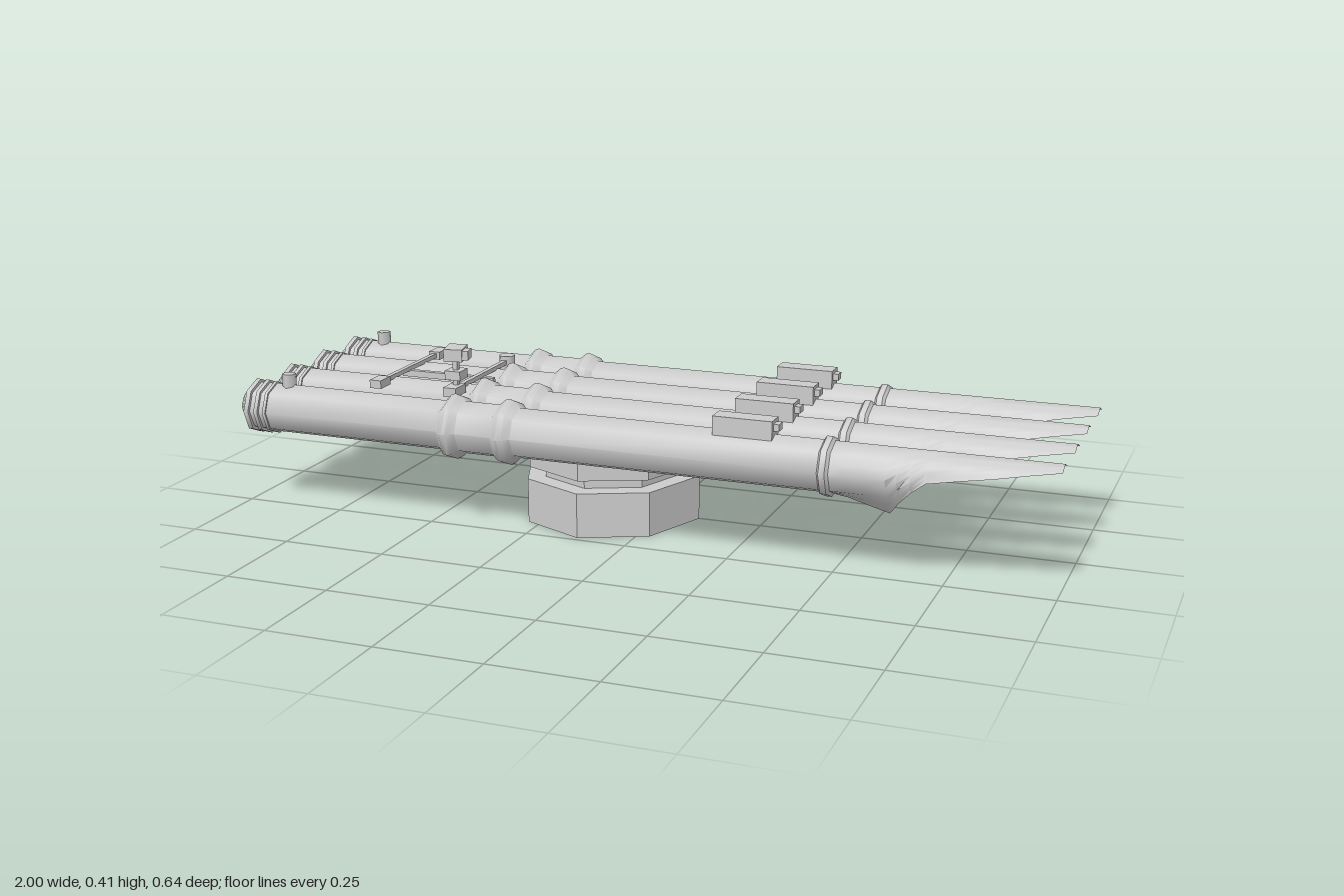
import * as THREE from 'three';
import { toCreasedNormals } from 'three/addons/utils/BufferGeometryUtils.js';

const mat = new THREE.MeshStandardMaterial({ color: 0xcccccc });
const thin = new THREE.MeshStandardMaterial({ color: 0xcccccc, side: THREE.DoubleSide });
const CY = 0.243, R = 0.061, SIDES = 8, CREASE = 0.85;

function add(parent, name, geo, x, y, z, material = mat) {
  const m = new THREE.Mesh(geo, material);
  m.name = name;
  m.position.set(x, y, z);
  parent.add(m);
  return m;
}
const box = (parent, name, w, h, d, x, y, z) =>
  add(parent, name, new THREE.BoxGeometry(w, h, d), x, y, z);

// Barrel profile as [x, radius], including rear cap, rings and collars
function barrelGeometry() {
  const profile = [
    [-1, 0], [-1, 0.03], [-0.985, 0.05], [-0.972, 0.059],
    [-0.972, 0.067], [-0.96, 0.067], [-0.96, 0.059],
    [-0.945, 0.059], [-0.945, 0.067], [-0.935, 0.067], [-0.935, 0.06],
    [-0.922, 0.06], [-0.922, 0.065], [-0.914, 0.065], [-0.914, R],
    [-0.455, R], [-0.44, 0.077], [-0.43, 0.08], [-0.42, 0.077], [-0.405, 0.064],
    [-0.315, 0.064], [-0.3, 0.077], [-0.29, 0.08], [-0.28, 0.077], [-0.265, R],
    [0.472, R], [0.478, 0.07], [0.492, 0.07], [0.498, R], [0.505, 0.054], [0.505, 0],
  ];
  const g = new THREE.LatheGeometry(profile.map(([x, r]) => new THREE.Vector2(r, x)), SIDES);
  g.rotateZ(-Math.PI / 2);
  return toCreasedNormals(g, CREASE);
}

// Spoon-shaped muzzle: an octagonal shell cut away to leave the upper arc.
// Each station is [x, half angle of arc in degrees, drop of the lower lip].
function spoonGeometry() {
  const stations = [
    [0.49, 180, 0], [0.53, 180, 0.006], [0.58, 180, 0.02], [0.625, 180, 0.032],
    [0.65, 150, 0.03], [0.68, 118, 0], [0.715, 88, 0], [0.79, 75, 0],
    [0.86, 63, 0], [0.93, 49, 0], [1, 32, 0],
  ];
  const N = 16, pos = [], idx = [];
  stations.forEach(([x, limit, drop], s) => {
    for (let j = 0; j <= N; j++) {
      const deg = (j / N * 2 - 1) * limit, a = Math.abs(deg);
      const r = R * Math.cos(Math.PI / 8) / Math.cos(THREE.MathUtils.degToRad(a % 45 - 22.5));
      const t = THREE.MathUtils.degToRad(deg);
      pos.push(x, r * Math.cos(t) - drop * Math.max(0, (a - 135) / 45), r * Math.sin(t));
      if (s && j < N) {
        const b = s * (N + 1) + j, c = b - N - 1;
        idx.push(c, c + 1, b, c + 1, b + 1, b);
      }
    }
  });
  const g = new THREE.BufferGeometry();
  g.setAttribute('position', new THREE.Float32BufferAttribute(pos, 3));
  g.setIndex(idx);
  return toCreasedNormals(g, CREASE);
}

// Octagonal block with corners on the axes
function octagon(parent, name, rx, rz, y0, y1) {
  const g = new THREE.CylinderGeometry(1, 1, y1 - y0, 8).toNonIndexed();
  g.scale(rx, 1, rz);
  g.computeVertexNormals();
  add(parent, name, g, -0.125, (y0 + y1) / 2, 0);
}

export function createModel() {
  const model = new THREE.Group();
  model.name = 'tubeLauncher';

  // Pedestal
  const base = new THREE.Group();
  base.name = 'pedestal';
  model.add(base);
  octagon(base, 'baseBlock', 0.22, 0.237, 0, 0.108);
  octagon(base, 'neck', 0.175, 0.19, 0.108, 0.137);
  octagon(base, 'turntable', 0.215, 0.23, 0.137, 0.196);

  // Four launch tubes
  const barrel = barrelGeometry(), spoon = spoonGeometry();
  for (const z of [-0.24, -0.08, 0.08, 0.24]) {
    const tube = new THREE.Group();
    tube.name = 'launchTube';
    tube.position.set(0, CY, z);
    model.add(tube);
    add(tube, 'barrel', barrel, 0, 0, 0);
    add(tube, 'spoonMuzzle', spoon, 0, 0, 0, thin);
    box(tube, 'topBox', 0.14, 0.045, 0.048, 0.288, 0.073, 0);
    box(tube, 'topBoxLatch', 0.014, 0.016, 0.026, 0.364, 0.079, 0);
    if (Math.abs(z) > 0.2)
      add(tube, 'valveKnob', new THREE.CylinderGeometry(0.017, 0.017, 0.04, 6), -0.88, 0.068, 0);
  }

  // Cross shafts over the tubes with end boxes
  const rig = new THREE.Group();
  rig.name = 'controlRig';
  model.add(rig);
  box(rig, 'linkShaft', 0.25, 0.016, 0.014, -0.57, 0.294, 0);
  for (const x of [-0.68, -0.48]) {
    box(rig, 'crossShaft', 0.012, 0.011, 0.34, x, 0.306, -0.005);
  }
  box(rig, 'shaftEndBox', 0.03, 0.02, 0.05, -0.68, 0.306, -0.163);
  box(rig, 'shaftEndBox', 0.03, 0.02, 0.05, -0.68, 0.306, 0.15);
  add(rig, 'shaftDrum', new THREE.CylinderGeometry(0.02, 0.02, 0.034, 10), -0.48, 0.305, -0.152);
  box(rig, 'sightFoot', 0.034, 0.022, 0.055, -0.48, 0.304, 0.147);

  // Aiming sight on its post
  box(rig, 'sightPost', 0.012, 0.075, 0.012, -0.48, 0.348, 0.135);
  box(rig, 'sightBracket', 0.04, 0.022, 0.043, -0.48, 0.341, 0.135);
  box(rig, 'sightHead', 0.045, 0.03, 0.062, -0.48, 0.393, 0.135).rotation.y = 0.22;
  box(rig, 'sightLens', 0.02, 0.022, 0.036, -0.452, 0.393, 0.138).rotation.y = 0.22;
  return model;
}
